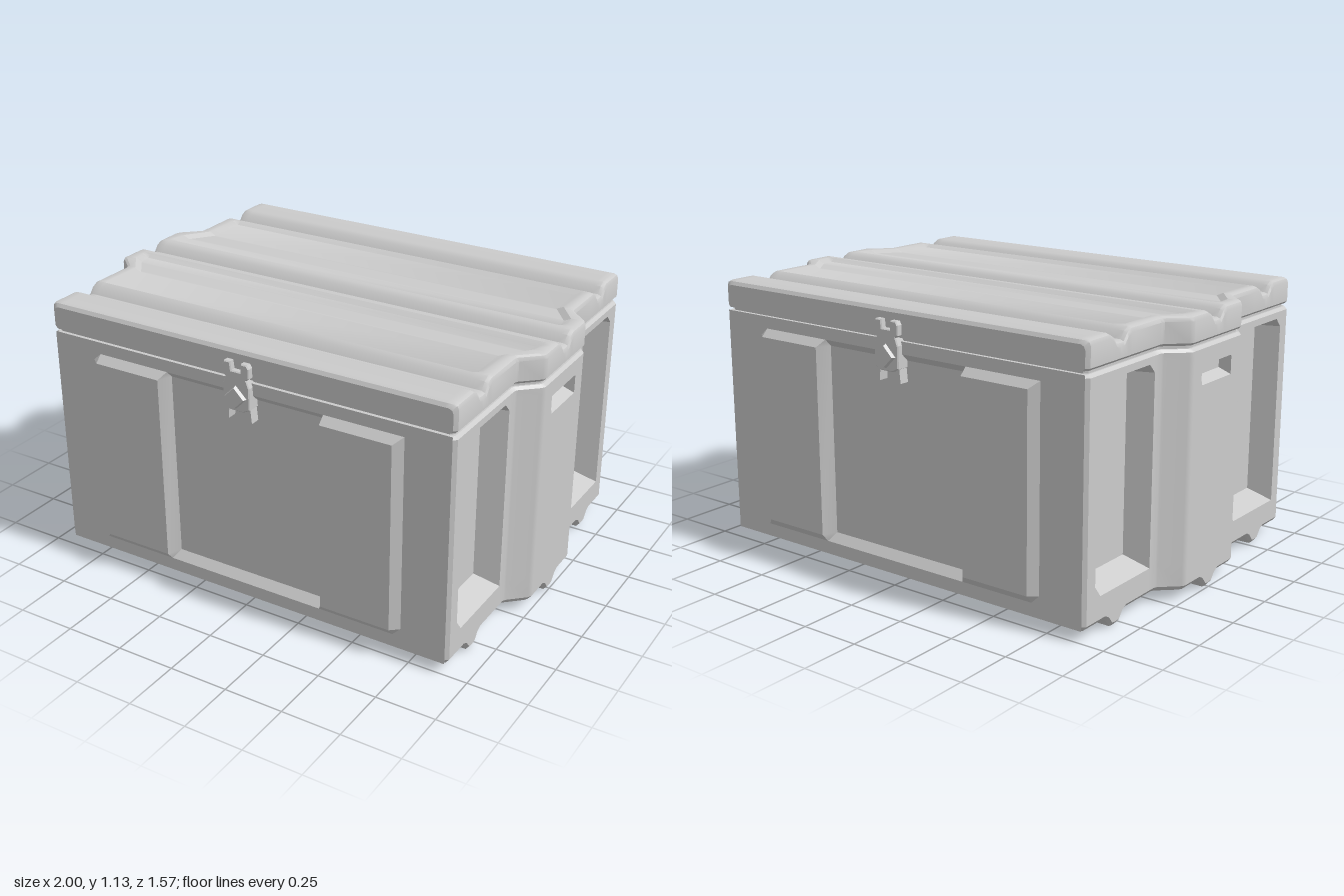
import * as THREE from 'three';
import { toCreasedNormals } from 'three/addons/utils/BufferGeometryUtils.js';

const material = new THREE.MeshStandardMaterial({ color: 0xcccccc });

// Piecewise-linear lookup in a [[position, value], ...] table
function lerpTable(table, t) {
  if (t <= table[0][0]) return table[0][1];
  for (let i = 1; i < table.length; i++) {
    const [a, va] = table[i - 1], [b, vb] = table[i];
    if (t <= b) return va + (vb - va) * (t - a) / (b - a);
  }
  return table[table.length - 1][1];
}

// Skin a list of point rows; closed rows wrap round, caps close both ends
function skin(rows, closed, caps) {
  const n = rows[0].length, index = [];
  for (let i = 0; i < rows.length - 1; i++) {
    for (let j = 0; j < (closed ? n : n - 1); j++) {
      const k = (j + 1) % n;
      const a = i * n + j, b = i * n + k, c = b + n, d = a + n;
      index.push(a, b, c, a, c, d);
    }
  }
  if (caps) {
    const last = (rows.length - 1) * n;
    for (let j = 1; j < n - 1; j++) {
      index.push(0, j + 1, j, last, last + j, last + j + 1);
    }
  }
  const g = new THREE.BufferGeometry();
  g.setAttribute('position', new THREE.Float32BufferAttribute(rows.flat(2), 3));
  g.setIndex(index);
  return toCreasedNormals(g, 0.5);
}

// Loft along z: section(at) gives the +x half outline from bottom to top
function loft(tables, section, caps) {
  const stations = new Set([0]);
  Object.values(tables).forEach(t => t.forEach(p => stations.add(p[0])));
  const half = [...stations].sort((a, b) => a - b);
  const zs = [...half.slice(1).reverse().map(z => -z), ...half];
  const rows = zs.map(z => {
    const right = section(name => lerpTable(tables[name], Math.abs(z)));
    const left = right.slice().reverse().map(([x, y]) => [-x, y]);
    return [...right, ...left].map(([x, y]) => [x, y, z]);
  });
  return skin(rows, true, caps);
}

function add(parent, name, geometry) {
  const mesh = new THREE.Mesh(geometry, material);
  mesh.name = name;
  parent.add(mesh);
  return mesh;
}

// Plan outline with the bulge in the middle of each side
const width = [[0, 0.998], [0.18, 0.998], [0.195, 0.99], [0.26, 0.92], [0.275, 0.914], [0.732, 0.914], [0.745, 0.9]];
// Edge of the shallow top and bottom panels, and where they lie
const panelEdge = [[0.1, 0.95], [0.17, 0.94], [0.27, 0.865], [0.47, 0.865]];
const panel = [[0.09, 0], [0.115, 1], [0.445, 1], [0.47, 0]];
// Ribs under the body and matching grooves in the lid
const rib = [[0, 1], [0.022, 0.95], [0.045, 0.3], [0.07, 0], [0.47, 0], [0.495, 0.3], [0.518, 0.95],
  [0.54, 1], [0.562, 0.95], [0.585, 0.3], [0.61, 0]];

function bodyGeometry() {
  const tables = {
    width, panelEdge, panel, rib,
    recess: [[0.31, 0], [0.345, 1], [0.645, 1], [0.68, 0]],
    slot: [[0.105, 1], [0.112, 0]],
  };
  // Side rows: height, share of side recess, share of handle slot
  const sideRows = [[0.155, 0, 0], [0.2, 1, 0], [0.85, 1, 0], [0.872, 1, 1],
    [0.924, 1, 1], [0.928, 1, 0], [0.965, 0, 0]];
  return loft(tables, at => {
    const w = at('width'), b = 0.045 - 0.045 * at('rib'), e = at('panelEdge');
    return [
      [e - 0.03, b - 0.02 * at('panel')], [e, b], [w - 0.015, b], [w, b + 0.018],
      ...sideRows.map(([y, r, s]) => [w - 0.1 * r * at('recess') - 0.05 * s * at('slot'), y]),
      [w, 0.993], [w - 0.012, 1.005],
    ];
  }, false);
}

function lidGeometry() {
  const tables = { width, panelEdge, panel, rib, top: [[0.72, 1.13], [0.735, 1.126], [0.745, 1.112]] };
  return loft(tables, at => {
    const w = at('width'), e = at('panelEdge'), t = at('top') - 0.042 * at('rib');
    return [[w - 0.01, 1.018], [w, 1.028], [w, t - 0.02], [w - 0.006, t - 0.006], [w - 0.02, t],
      [e, t], [e - 0.03, t - 0.014 * at('panel')]];
  }, true);
}

// Front wall with two raised panels and a sunken middle
function wallGeometry() {
  const relief = [[0.345, -0.03], [0.37, 0.03], [0.675, 0.03], [0.71, 0], [0.9, 0]];
  const xs = [...relief.map(p => -p[0]).reverse(), ...relief.map(p => p[0])];
  const ys = [[0.045, 0], [0.1, 0], [0.135, 1], [0.925, 1], [0.955, 0], [1.005, 0]];
  const rows = ys.map(([y, share]) => xs.map(x => [x, y, 0.745 + share * lerpTable(relief, Math.abs(x))]));
  return skin(rows, false, false);
}

// Plate symmetrical in x, from its +x half outline
function plate(half, z0, depth) {
  const points = [...half, ...half.slice().reverse().map(([x, y]) => [-x, y])];
  const shape = new THREE.Shape(points.map(p => new THREE.Vector2(...p)));
  const g = new THREE.ExtrudeGeometry(shape, {
    depth: depth - 0.005, bevelThickness: 0.005, bevelSize: 0.004, bevelSegments: 1, bevelOffset: -0.004,
  });
  return g.translate(0, 0, z0);
}

function latch() {
  const group = new THREE.Group();
  group.name = 'latch';
  add(group, 'latchKeeper', plate([[0.04, 1.015], [0.06, 1.03], [0.06, 1.07], [0.052, 1.085],
    [0.024, 1.085], [0.02, 1.05]], 0.74, 0.03));
  add(group, 'latchBody', plate([[0.03, 0.885], [0.06, 0.9], [0.06, 0.99], [0.045, 1.03]], 0.71, 0.06));
  const knob = add(group, 'latchKnob', new THREE.CylinderGeometry(0.042, 0.05, 0.02, 4).toNonIndexed());
  knob.geometry.computeVertexNormals();
  knob.rotation.x = Math.PI / 2;
  knob.position.set(0, 0.945, 0.775);
  for (const side of [-1, 1]) {
    const prong = add(group, 'latchProng', new THREE.BoxGeometry(0.014, 0.07, 0.045));
    prong.position.set(side * 0.05, 0.875, 0.735);
    prong.rotation.z = side * 0.1;
  }
  return group;
}

export function createModel() {
  const crate = new THREE.Group();
  crate.name = 'crate';
  add(crate, 'body', bodyGeometry());
  add(crate, 'lid', lidGeometry());
  // Inset seal filling the gap between body and lid
  const seal = add(crate, 'seal', loft({ width }, at => [[at('width'), 0.98], [at('width'), 1.03]], true));
  seal.scale.set(0.98, 1, 0.98);
  seal.position.y = 0;
  // Front and back are alike
  for (const [name, turn] of [['front', 0], ['back', Math.PI]]) {
    const end = new THREE.Group();
    end.name = name;
    add(end, name + 'Wall', wallGeometry());
    end.add(latch());
    end.rotation.y = turn;
    crate.add(end);
  }
  return crate;
}
